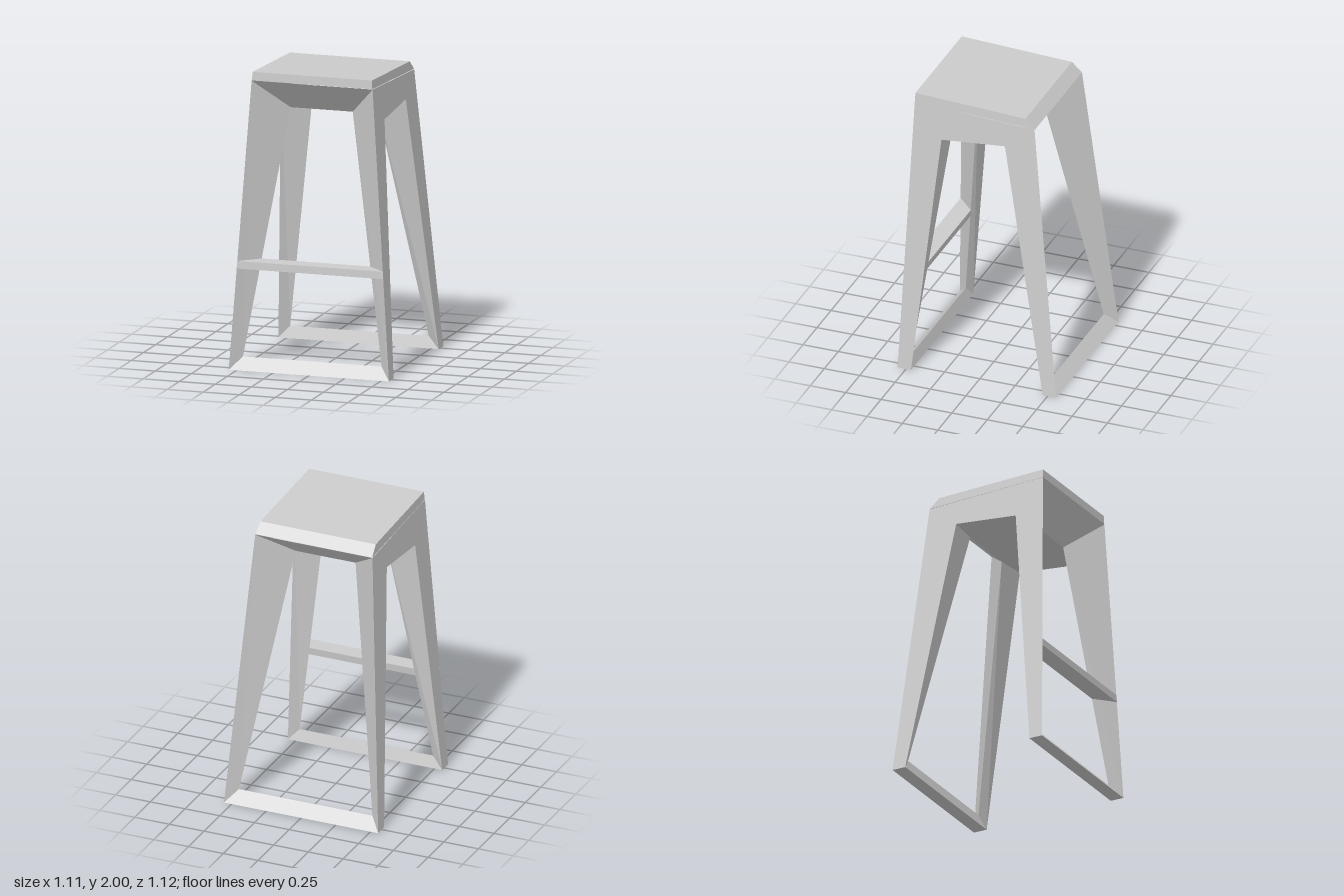
import * as THREE from 'three';

const material = new THREE.MeshStandardMaterial({ color: 0xcccccc, flatShading: true, side: THREE.DoubleSide });

// x of the leaning side planes at height y
const sideX = (y) => 0.555 - 0.07 * y;
const V = (x, y, z) => new THREE.Vector3(x, y, z);
const flip = (p) => V(-p.x, p.y, p.z);

// Mesh from four-cornered faces; each has a rough outward direction that sets its corner order
function facetMesh(name, faces) {
  const points = [];
  for (const [out, a, b, c, d] of faces) {
    const normal = c.clone().sub(a).cross(d.clone().sub(b));
    const q = normal.dot(out) > 0 ? [a, b, c, d] : [d, c, b, a];
    points.push(q[0], q[1], q[2], q[0], q[2], q[3]);
  }
  const geometry = new THREE.BufferGeometry().setFromPoints(points);
  geometry.computeVertexNormals();
  const mesh = new THREE.Mesh(geometry, material);
  mesh.name = name;
  return mesh;
}

// Adds a face and its mirror image across x = 0
function addPair(faces, out, ...corners) {
  faces.push([out, ...corners], [flip(out), ...corners.map(flip)]);
}

// Corners of one leg on the +x side: a = outer edge, b = edge of the side opening, c = inner edge
function legCorners(a0z, a1y, a1z, b0z, b1y, b1z, c0z, c1z) {
  return {
    a0: V(sideX(0), 0, a0z), a1: V(sideX(a1y), a1y, a1z),
    b0: V(sideX(0), 0, b0z), b1: V(sideX(b1y), b1y, b1z),
    c0: V(0.48, 0.08, c0z), c1: V(0.215, 1.735, c1z),
  };
}

// Two three-sided legs joined by a floor bar and a sloping top face
function legFrame(name, k, s) {
  const faces = [];
  addPair(faces, V(1, 0, 0), k.a0, k.a1, k.b1, k.b0);
  addPair(faces, V(-1, 0, s), k.a0, k.a1, k.c1, k.c0);
  addPair(faces, V(-0.2, 0, -s), k.b0, k.b1, k.c1, k.c0);
  faces.push(
    [V(0, 1, s), k.a0, flip(k.a0), flip(k.c0), k.c0],
    [V(0, 0, -s), k.b0, flip(k.b0), flip(k.c0), k.c0],
    [V(0, -1, 0), k.a0, flip(k.a0), flip(k.b0), k.b0],
    [V(0, -1, s), k.a1, flip(k.a1), flip(k.c1), k.c1],
  );
  return facetMesh(name, faces);
}

export function createModel() {
  const model = new THREE.Group();
  const front = legCorners(0.56, 1.94, 0.492, 0.465, 1.7, 0.297, 0.488, 0.295);
  const back = legCorners(-0.56, 1.897, -0.355, -0.465, 1.74, -0.15, -0.485, -0.165);

  model.add(legFrame('frontLegFrame', front, 1), legFrame('backLegFrame', back, -1));

  // Side rails and underside between the frames
  const rails = [];
  addPair(rails, V(1, 0, 0), front.a1, back.a1, back.b1, front.b1);
  addPair(rails, V(0, -1, 0), front.b1, back.b1, back.c1, front.c1);
  rails.push([V(0, -1, 0), front.c1, back.c1, flip(back.c1), flip(front.c1)]);
  model.add(facetMesh('seatSupport', rails));

  // Sloping seat slab with a bevelled back edge
  const edge = (y, z) => V(sideX(y) - 0.002, y, z);
  const seatProfile = [edge(1.942, 0.492), edge(2, 0.49), edge(1.965, -0.287), edge(1.9, -0.355)];
  const seat = [];
  addPair(seat, V(1, 0, 0), ...seatProfile);
  const outward = [V(0, 0, 1), V(0, 1, 0), V(0, 1, -1), V(0, -1, 0)];
  seatProfile.forEach((p, i) => {
    const q = seatProfile[(i + 1) % 4];
    seat.push([outward[i], p, q, flip(q), flip(p)]);
  });
  model.add(facetMesh('seat', seat));

  // Footrest, tapering inward between the front legs
  const f0 = V(0.508, 0.68, 0.537), f1 = V(0.505, 0.73, 0.535);
  const r0 = V(0.384, 0.68, 0.418), r1 = V(0.376, 0.73, 0.412);
  const rest = [
    [V(0, 0, 1), f0, f1, flip(f1), flip(f0)],
    [V(0, 1, 0), f1, r1, flip(r1), flip(f1)],
    [V(0, 0, -1), r0, r1, flip(r1), flip(r0)],
    [V(0, -1, 0), f0, r0, flip(r0), flip(f0)],
  ];
  addPair(rest, V(1, 0, -1), f0, f1, r1, r0);
  model.add(facetMesh('footrest', rest));

  return model;
}
